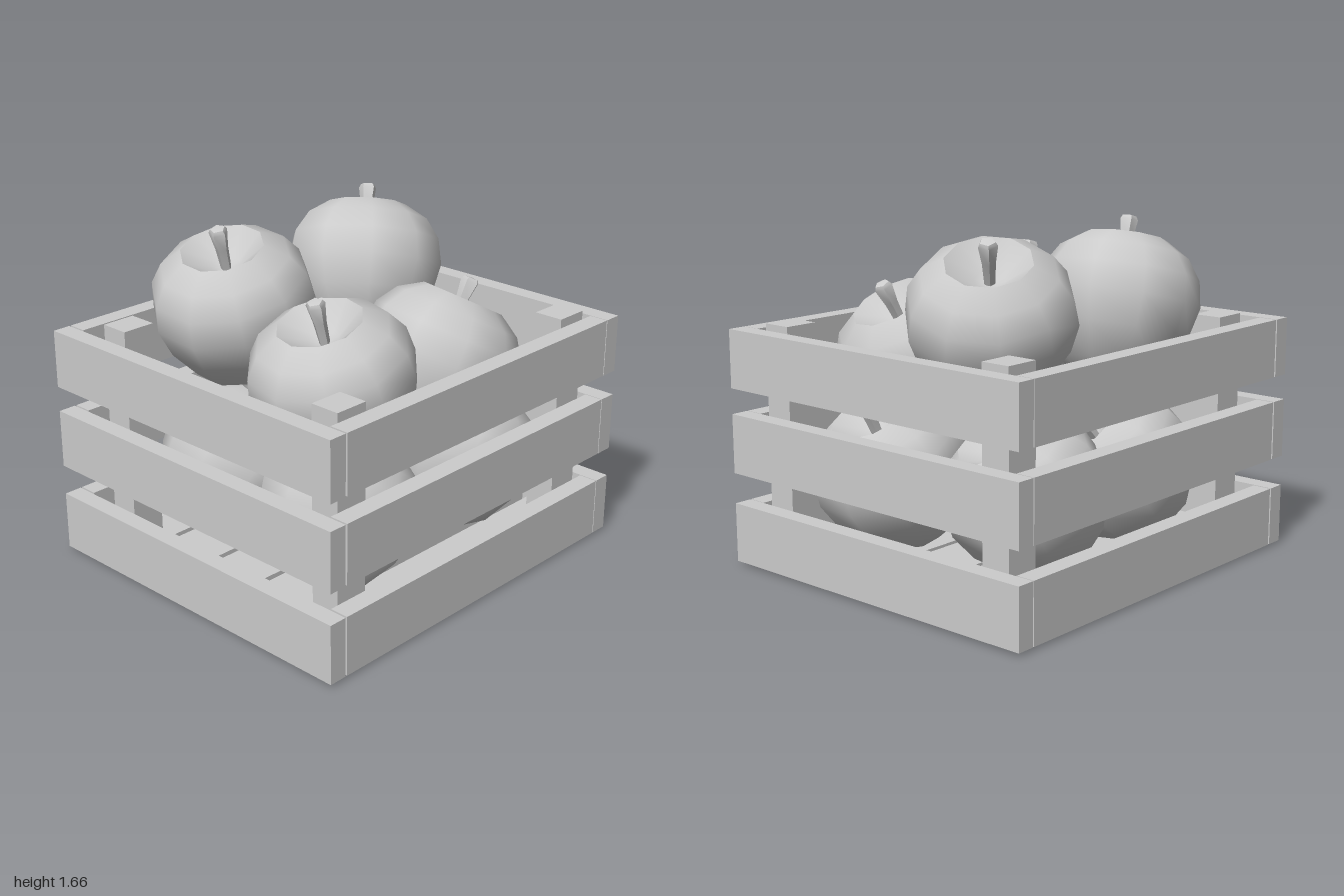
import * as THREE from 'three';
import { toCreasedNormals } from 'three/addons/utils/BufferGeometryUtils.js';

const material = new THREE.MeshStandardMaterial({ color: 0xcccccc });

// Box given by its minimum and maximum corners
function slat(name, x0, x1, y0, y1, z0, z1) {
  const mesh = new THREE.Mesh(new THREE.BoxGeometry(x1 - x0, y1 - y0, z1 - z0), material);
  mesh.position.set((x0 + x1) / 2, (y0 + y1) / 2, (z0 + z1) / 2);
  mesh.name = name;
  return mesh;
}

function createCrate() {
  const crate = new THREE.Group();
  crate.name = 'crate';

  // Three rows of wall planks
  for (const [y0, y1] of [[0.015, 0.305], [0.455, 0.745], [0.87, 1.155]]) {
    crate.add(
      slat('frontPlank', -0.9, 0.9, y0, y1, 0.91, 1),
      slat('backPlank', -0.9, 0.9, y0, y1, -1, -0.91),
      slat('leftPlank', 0.805, 0.9, y0, y1, -0.905, 0.9),
      slat('rightPlank', -0.9, -0.805, y0, y1, -0.905, 0.9)
    );
  }

  // Corner posts
  for (const x of [-0.74, 0.625]) {
    for (const z of [-0.88, 0.655]) crate.add(slat('cornerPost', x, x + 0.15, 0.05, 1.18, z, z + 0.172));
  }

  // Floor boards with narrow gaps
  for (const x of [-0.795, -0.475, -0.155, 0.165, 0.5]) {
    crate.add(slat('floorBoard', x, x + 0.29, 0, 0.09, -0.905, 0.89));
  }
  return crate;
}

// Apple profile from the hollow underside to the hollow around the stem
const profile = [
  [0, -0.3], [0.06, -0.31], [0.14, -0.36], [0.26, -0.28], [0.355, -0.12], [0.395, 0.03],
  [0.375, 0.16], [0.31, 0.26], [0.2, 0.33], [0.07, 0.23], [0, 0.21]
].map(([r, y]) => new THREE.Vector2(r, y));
const fruitGeometry = toCreasedNormals(new THREE.LatheGeometry(profile, 10), 0.8);

// Five-sided stem, wider at its top and slightly domed
const stemGeometry = toCreasedNormals(new THREE.LatheGeometry(
  [[0, 0], [0.025, 0], [0.032, 0.12], [0.046, 0.21], [0.036, 0.228], [0, 0.232]]
    .map(([r, y]) => new THREE.Vector2(r, y)), 5), 0.8);

function createApple([x, y, z], axis, spin) {
  const apple = new THREE.Group();
  apple.name = 'apple';
  const fruit = new THREE.Mesh(fruitGeometry, material);
  fruit.name = 'fruit';
  const stem = new THREE.Mesh(stemGeometry, material);
  stem.name = 'stem';
  stem.position.y = 0.205;
  apple.add(fruit, stem);
  apple.position.set(x, y, z);
  apple.quaternion.setFromUnitVectors(new THREE.Vector3(0, 1, 0), new THREE.Vector3(...axis).normalize());
  apple.rotateY(spin);
  return apple;
}

export function createModel() {
  const model = new THREE.Group();
  model.name = 'appleCrate';
  model.add(createCrate());

  // Position, stem direction and spin of each apple
  const apples = [
    // Upper layer
    [[-0.28, 1.25, -0.47], [-0.12, 0.4, -0.16], 0.2],
    [[-0.36, 1.24, 0.34], [0.03, 0.4, 0.12], 0.3],
    [[0.34, 1.06, 0.39], [0, 0.4, 0.12], 0.1],
    [[0.37, 0.98, -0.27], [0.04, 0.37, -0.2], 0.25],
    // Lower layer
    [[-0.37, 0.44, -0.33], [0.08, 0.4, -0.2], 0.15],
    [[-0.36, 0.44, 0.36], [0.08, 0.32, -0.25], 0.3],
    [[0.37, 0.44, 0.4], [0, 0.32, -0.25], 0],
    [[0.35, 0.45, -0.47], [0.03, 0.36, -0.16], 0.2]
  ];
  for (const [position, axis, spin] of apples) model.add(createApple(position, axis, spin));
  return model;
}
